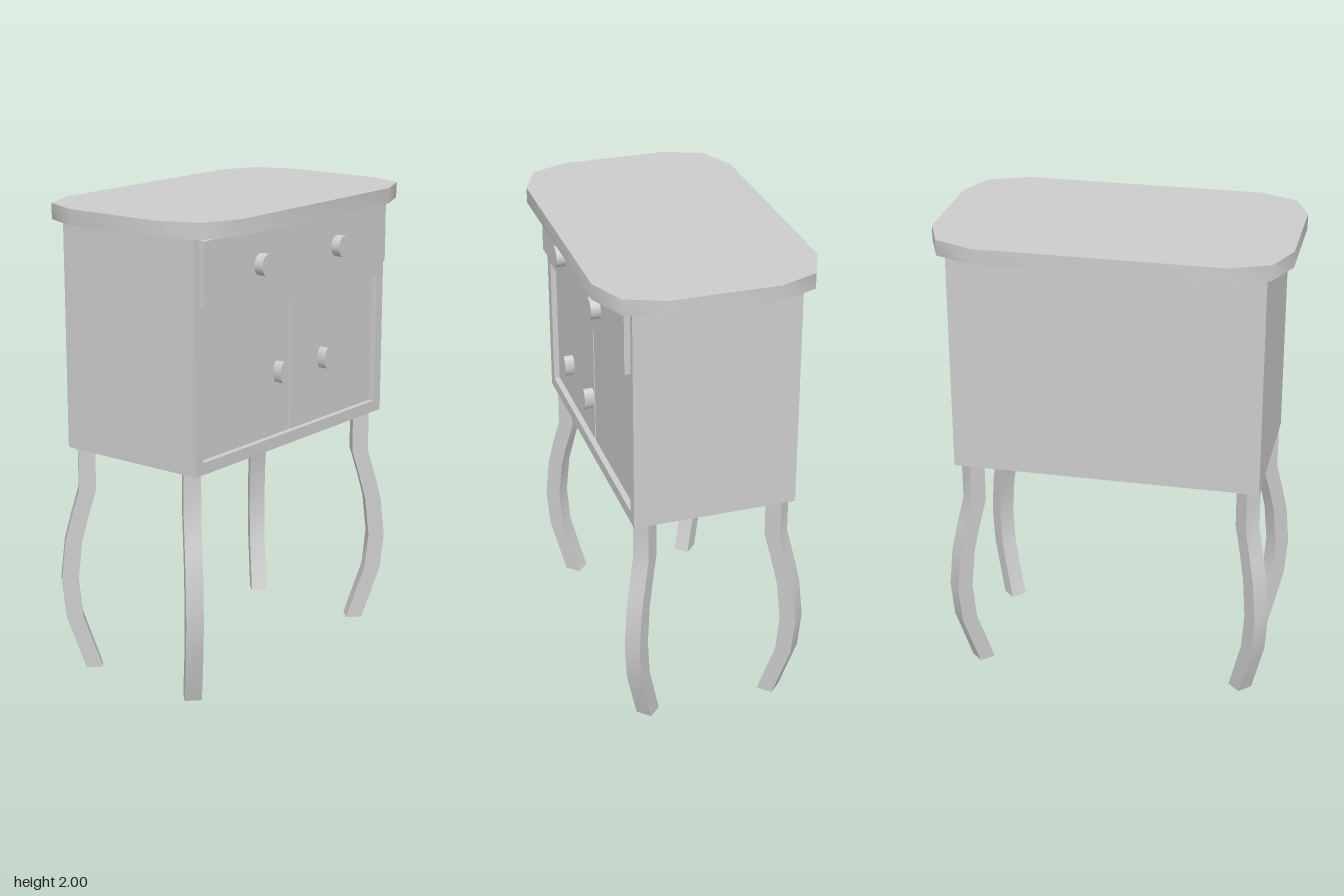
import * as THREE from 'three';
import { toCreasedNormals } from 'three/addons/utils/BufferGeometryUtils.js';

const material = new THREE.MeshStandardMaterial({ color: 0xcccccc });

export function createModel() {
  const group = new THREE.Group();

  const add = (name, geometry) => {
    const mesh = new THREE.Mesh(geometry, material);
    mesh.name = name;
    group.add(mesh);
    return mesh;
  };

  // Box given by its limits on each axis
  const box = (name, x0, x1, y0, y1, z0, z1) =>
    add(name, new THREE.BoxGeometry(x1 - x0, y1 - y0, z1 - z0))
      .position.set((x0 + x1) / 2, (y0 + y1) / 2, (z0 + z1) / 2);

  // Table top: rectangle with two-step clipped corners
  const corner = [[0.455, 0.505], [0.385, 0.67], [0.225, 0.735]];
  const mirrored = (sx, sy) => corner.map(([x, y]) => new THREE.Vector2(x * sx, y * sy));
  const outline = [
    ...mirrored(1, 1), ...mirrored(-1, 1).reverse(),
    ...mirrored(-1, -1), ...mirrored(1, -1).reverse(),
  ];
  const top = new THREE.ExtrudeGeometry(new THREE.Shape(outline), { depth: 0.065, bevelEnabled: false });
  top.rotateX(-Math.PI / 2).translate(0, 1.935, 0);
  add('tableTop', toCreasedNormals(top, 0.9));

  // Cabinet body, with a framed opening on the door side (+x)
  box('cabinetBody', -0.345, 0.285, 0.98, 1.935, -0.648, 0.648);
  const rect = (Type, w, y0, y1) => new Type([
    new THREE.Vector2(-w, y0), new THREE.Vector2(w, y0),
    new THREE.Vector2(w, y1), new THREE.Vector2(-w, y1),
  ]);
  const frame = rect(THREE.Shape, 0.648, 0.98, 1.935);
  frame.holes.push(rect(THREE.Path, 0.6, 1.03, 1.6));
  const frameGeometry = new THREE.ExtrudeGeometry(frame, { depth: 0.055, bevelEnabled: false });
  add('doorFrame', frameGeometry.rotateY(Math.PI / 2).translate(0.285, 0, 0));

  // Drawer front stands proud; the doors are set back
  box('drawerFront', 0.33, 0.365, 1.66, 1.92, -0.622, 0.622);
  box('leftDoor', 0.285, 0.315, 1.03, 1.6, -0.6, -0.007);
  box('rightDoor', 0.285, 0.315, 1.03, 1.6, 0.007, 0.6);
  box('doorLatch', 0.285, 0.305, 1.305, 1.36, -0.007, 0.007);

  // Round drawer knobs and oval door knobs
  const knob = (name, y, z, width) => {
    const geometry = new THREE.CylinderGeometry(0.045, 0.045, 0.04, 24);
    geometry.rotateZ(Math.PI / 2).scale(1, 1, width);
    add(name, geometry).position.set(0.385, y, z);
  };
  for (const z of [0.265, -0.26]) knob('drawerKnob', 1.78, z, 1);
  for (const z of [0.157, -0.152]) knob('doorKnob', 1.32, z, 0.56);

  // Curved legs: diamond section swept outwards along the diagonal [height, bow]
  const bow = [[0, -0.01], [0.24, 0.047], [0.4, 0.058], [0.57, 0.045], [0.68, 0.025], [0.8, 0], [0.98, 0]];
  const legGeometry = (sx, sz) => {
    const r = 0.05, positions = [], indices = [];
    for (const [y, d] of bow) {
      for (let i = 0; i < 4; i++) {
        const a = i * Math.PI / 2;
        positions.push(sx * d + r * Math.cos(a), y, sz * d + r * Math.sin(a));
      }
    }
    for (let k = 0; k < bow.length - 1; k++) {
      for (let i = 0; i < 4; i++) {
        const a = k * 4 + i, b = k * 4 + (i + 1) % 4;
        indices.push(a, a + 4, b, b, a + 4, b + 4);
      }
    }
    const t = (bow.length - 1) * 4;
    indices.push(0, 1, 2, 0, 2, 3, t, t + 2, t + 1, t, t + 3, t + 2);
    const geometry = new THREE.BufferGeometry();
    geometry.setAttribute('position', new THREE.Float32BufferAttribute(positions, 3));
    geometry.setIndex(indices);
    return toCreasedNormals(geometry, 0.6);
  };
  for (const sx of [-1, 1]) {
    for (const sz of [-1, 1]) {
      add('leg', legGeometry(sx, sz)).position.set(sx * 0.284 - 0.008, 0, sz * 0.59 + 0.008);
    }
  }

  return group;
}
